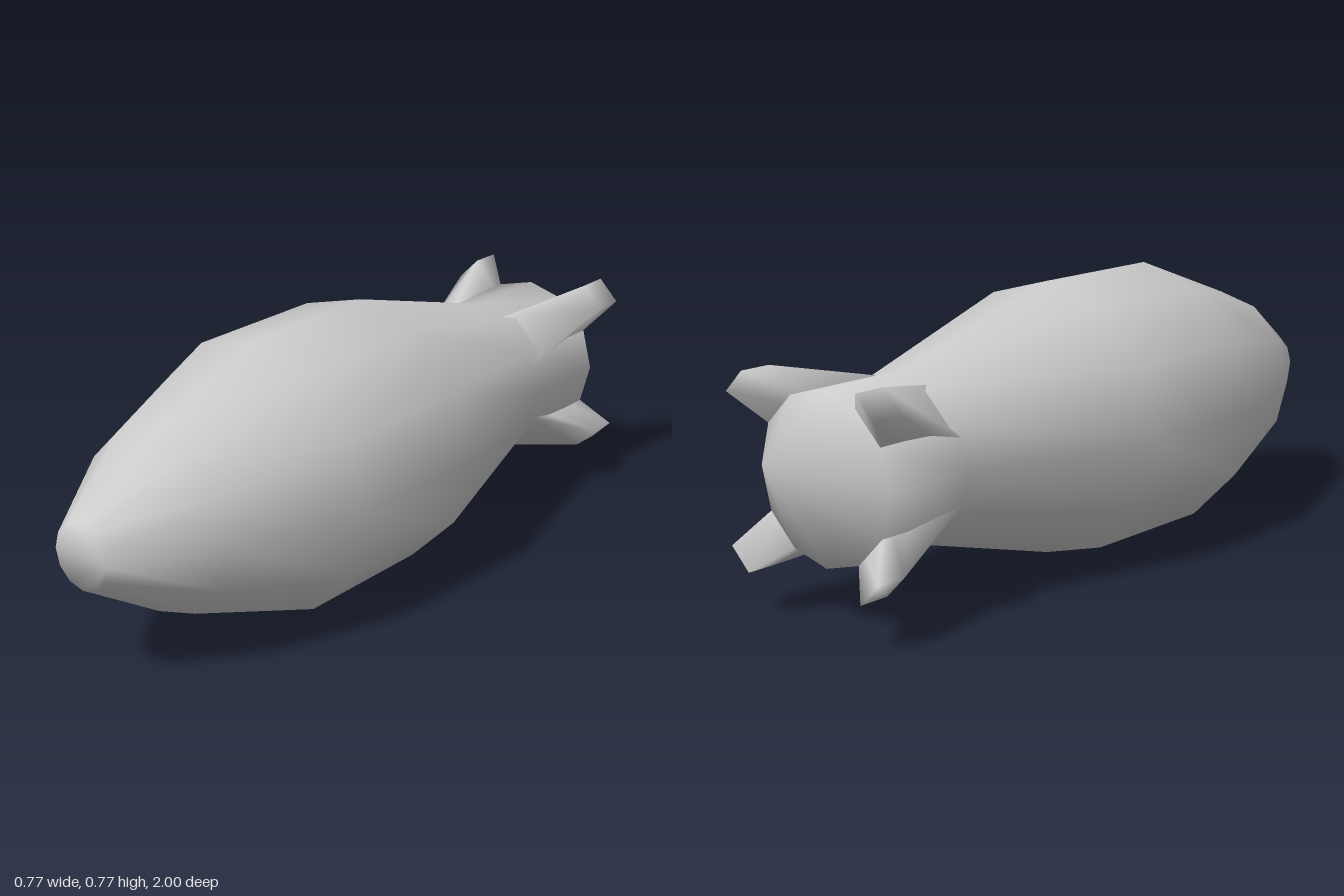
import * as THREE from 'three';

const AXIS_Y = 0.387;
const SIDES = 12;

// Skin a list of closed rings (counter-clockwise seen from +z, running towards -z), capping both ends
function loft(rings) {
  const n = rings[0].length;
  const last = (rings.length - 1) * n;
  const index = [];
  for (let i = 0; i < rings.length - 1; i++) {
    for (let j = 0; j < n; j++) {
      const a = i * n + j, b = i * n + (j + 1) % n;
      index.push(a, a + n, b, b, a + n, b + n);
    }
  }
  for (let j = 1; j < n - 1; j++) {
    index.push(0, j, j + 1);
    index.push(last, last + j + 1, last + j);
  }
  const geometry = new THREE.BufferGeometry();
  geometry.setAttribute('position', new THREE.Float32BufferAttribute(rings.flat(2), 3));
  geometry.setIndex(index);
  geometry.computeVertexNormals();
  return geometry;
}

// Twelve-sided ring; dent lists radius factors for the first corners
function bodyRing([z, r, dent = []]) {
  return Array.from({ length: SIDES }, (_, j) => {
    const a = (j / SIDES) * Math.PI * 2;
    const radius = r * (dent[j] ?? 1);
    return [Math.cos(a) * radius, Math.sin(a) * radius, z];
  });
}

// Four-cornered fin section: outer and inner edge as [radius, width, z]
function finRing([[ro, wo, zo], [ri, wi, zi]]) {
  return [[ro, -wo / 2, zo], [ro, wo / 2, zo], [ri, wi / 2, zi], [ri, -wi / 2, zi]];
}

export function createModel() {
  const model = new THREE.Group();
  const material = new THREE.MeshStandardMaterial({ color: 0xcccccc });

  // Hull: blunt nose, straight middle, tapered back, short tail tube
  const body = new THREE.Mesh(loft([
    [1, 0.09],
    [0.74, 0.25],
    [0.355, 0.386, [0.96, 0.96, 0.972]],
    [-0.08, 0.386],
    [-0.645, 0.228],
    [-0.92, 0.228],
  ].map(bodyRing)), material);
  body.name = 'body';
  body.position.y = AXIS_Y;
  model.add(body);

  // Four diagonal tail fins, swept back and narrowing to the tip
  const finGeometry = loft([
    [[0.206, 0.166, -0.645], [0.15, 0.15, -0.645]],
    [[0.325, 0.085, -0.91], [0.15, 0.14, -0.78]],
    [[0.325, 0.085, -1], [0.15, 0.14, -0.866]],
  ].map(finRing));
  for (let k = 0; k < 4; k++) {
    const fin = new THREE.Mesh(finGeometry, material);
    fin.name = 'tailFin' + (k + 1);
    fin.position.y = AXIS_Y;
    fin.rotation.z = Math.PI / 4 + k * Math.PI / 2;
    model.add(fin);
  }
  return model;
}
